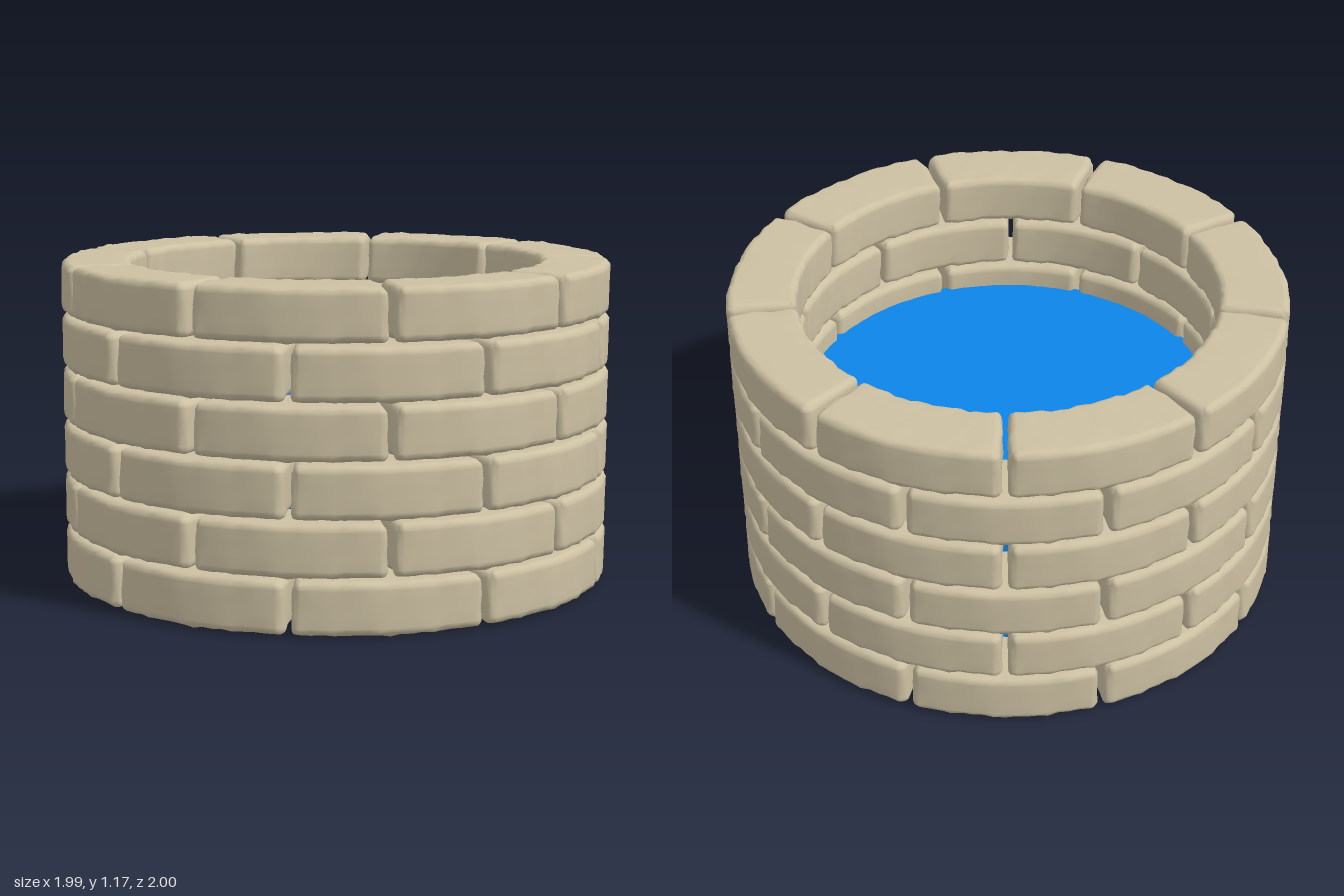
import * as THREE from 'three';
import { mergeVertices } from 'three/addons/utils/BufferGeometryUtils.js';

const COURSES = 6, BRICKS = 9, PITCH = 0.195;
const R_IN = 0.745, R_OUT = 0.998, R_MID = (R_IN + R_OUT) / 2;
const STEP = (Math.PI * 2) / BRICKS;

// Grid spacing: three lines packed into each rounded edge, the rest even.
function gridLine(t, n, half, r) {
  const i = Math.round((t + 0.5) * n);
  if (i <= 3) return -half + (i * r) / 3;
  if (i >= n - 3) return half - ((n - i) * r) / 3;
  return -half + r + ((i - 3) / (n - 6)) * 2 * (half - r);
}

// A worn stone block: rounded box, roughened, then bent around the ring.
function makeBrickGeometry() {
  const seg = [22, 9, 9], r = 0.03;
  const half = [(R_MID * STEP) / 2 - 0.008, 0.094, (R_OUT - R_IN) / 2];
  let geo = new THREE.BoxGeometry(1, 1, 1, ...seg);
  geo.deleteAttribute('uv');
  geo.deleteAttribute('normal');
  geo = mergeVertices(geo);
  const pos = geo.attributes.position;
  const p = new THREE.Vector3(), core = new THREE.Vector3(), dir = new THREE.Vector3();
  const limit = new THREE.Vector3(half[0] - r, half[1] - r, half[2] - r);
  for (let i = 0; i < pos.count; i++) {
    p.fromBufferAttribute(pos, i);
    p.set(...p.toArray().map((t, k) => gridLine(t, seg[k], half[k], r)));
    core.copy(p).clamp(limit.clone().negate(), limit);
    dir.subVectors(p, core);
    const edge = dir.toArray().filter((v) => Math.abs(v) > 0.001).length > 1;
    dir.normalize();
    // chipped edges, gently uneven faces
    const rough = Math.sin(p.x * 31 + p.y * 17) * Math.sin(p.z * 37 + p.x * 13 + 1) +
      0.6 * Math.sin(p.x * 83 + p.z * 61 + p.y * 47);
    const wear = edge ? 0.004 * (rough - 0.6) : 0.0015 * (rough - 1.2);
    p.copy(core).addScaledVector(dir, r + wear);
    const a = p.x / R_MID, radius = R_MID + p.z;
    pos.setXYZ(i, radius * Math.sin(a), p.y, radius * Math.cos(a));
  }
  geo.computeVertexNormals();
  return geo;
}

export function createModel() {
  const well = new THREE.Group();
  well.name = 'well';
  const stone = new THREE.MeshStandardMaterial({ color: 0xccc0a2 });
  const blue = new THREE.MeshStandardMaterial({ color: 0x0c84e8 });

  // Stone courses, every other one turned by half a brick
  const brickGeo = makeBrickGeometry();
  for (let c = 0; c < COURSES; c++) {
    const course = new THREE.Group();
    course.name = `stoneCourse${c + 1}`;
    course.position.y = 0.1 + c * PITCH;
    course.rotation.y = (c % 2) * STEP / 2;
    for (let b = 0; b < BRICKS; b++) {
      const brick = new THREE.Mesh(brickGeo, stone);
      brick.name = 'brick';
      brick.rotation.y = b * STEP;
      course.add(brick);
    }
    well.add(course);
  }

  // Water filling the lower part of the shaft
  const bottom = 0.05, top = 0.69;
  const water = new THREE.Mesh(new THREE.CylinderGeometry(0.765, 0.765, top - bottom, 64), blue);
  water.name = 'water';
  water.position.y = (top + bottom) / 2;
  well.add(water);

  // Rest the lowest course on the ground
  well.position.y = -new THREE.Box3().setFromObject(well).min.y;
  return well;
}
